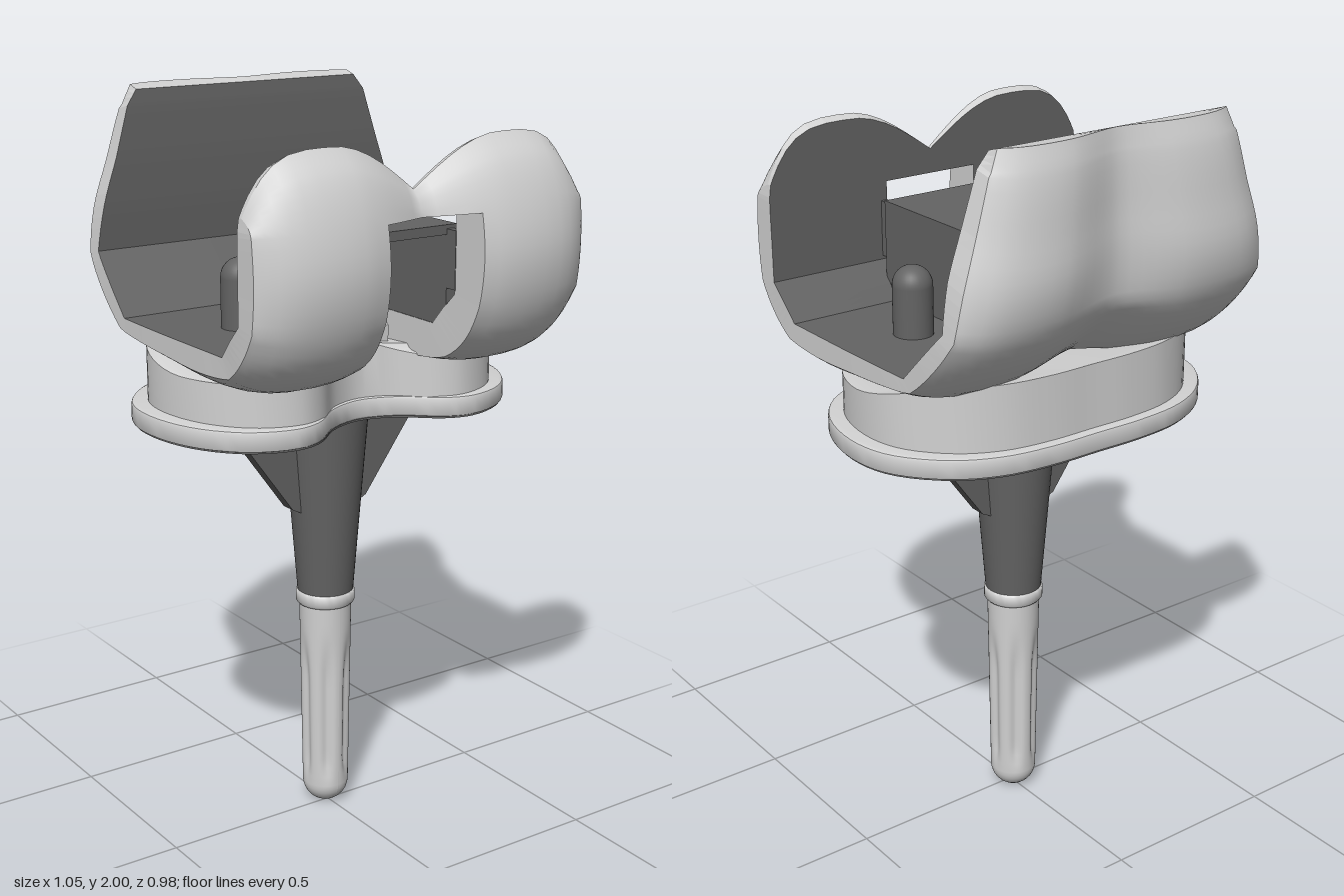
import * as THREE from 'three';
import { toCreasedNormals } from 'three/addons/utils/BufferGeometryUtils.js';

const light = new THREE.MeshStandardMaterial({ color: 0xd2d2d2, side: THREE.DoubleSide });
light.name = 'polishedMetal';
const dark = new THREE.MeshStandardMaterial({ color: 0x646464, side: THREE.DoubleSide });
dark.name = 'mattMetal';

function add(parent, name, geometry, material, x = 0, y = 0, z = 0) {
  const mesh = new THREE.Mesh(geometry, material);
  mesh.name = name;
  mesh.position.set(x, y, z);
  parent.add(mesh);
  return mesh;
}

function geometryFrom(positions, index) {
  const g = new THREE.BufferGeometry();
  g.setAttribute('position', new THREE.Float32BufferAttribute(positions, 3));
  if (index) g.setIndex(index);
  g.computeVertexNormals();
  return g;
}

// Side profile of the cap, front top to back top: inner z, y, outer z, y, half width
const STATIONS = [
  [0.355, 1.91, 0.38, 1.92, 0.49], [0.355, 1.84, 0.437, 1.85, 0.492],
  [0.355, 1.73, 0.478, 1.74, 0.495], [0.355, 1.62, 0.493, 1.62, 0.495],
  [0.355, 1.52, 0.472, 1.5, 0.495], [0.31, 1.475, 0.42, 1.4, 0.493],
  [0.27, 1.43, 0.33, 1.335, 0.49], [0.15, 1.43, 0.18, 1.31, 0.49],
  [0, 1.43, 0, 1.325, 0.49], [-0.12, 1.43, -0.13, 1.34, 0.488],
  [-0.22, 1.43, -0.27, 1.37, 0.485], [-0.3, 1.51, -0.39, 1.46, 0.482],
  [-0.37, 1.58, -0.46, 1.56, 0.475], [-0.365, 1.7, -0.487, 1.67, 0.455],
  [-0.365, 1.82, -0.478, 1.8, 0.415], [-0.37, 1.95, -0.462, 1.93, 0.375],
  [-0.375, 1.99, -0.44, 2.0, 0.345],
];
const HALF_COLUMNS = [0.035, 0.07, 0.105, 0.14, 0.18, 0.22, 0.27, 0.32, 0.37, 0.41, 0.44, 0.465, 0.48, 0.49];
const COLUMNS = [...HALF_COLUMNS.map((x) => -x).reverse(), 0, ...HALF_COLUMNS];
const SUB = 4;

// Two-lobed cap: polished outside, matt inside, slot in the front middle
function buildCap(parent) {
  const rows = (STATIONS.length - 1) * SUB;
  const cols = COLUMNS.length - 1;
  const curve = new THREE.CatmullRomCurve3(STATIONS.map((s) => new THREE.Vector3(s[4], s[3], s[2])));
  const outer = [], inner = [];

  for (let i = 0; i <= rows; i++) {
    const k = Math.min(Math.floor(i / SUB), STATIONS.length - 2);
    const t = i / SUB - k;
    const zi = THREE.MathUtils.lerp(STATIONS[k][0], STATIONS[k + 1][0], t);
    const yi = THREE.MathUtils.lerp(STATIONS[k][1], STATIONS[k + 1][1], t);
    const p = curve.getPoint(i / rows);
    const back = THREE.MathUtils.smoothstep(i / rows, 0.5, 0.75);
    for (const c of COLUMNS) {
      const s = Math.abs(c);
      const rise = Math.sin(Math.PI / 2 * Math.min(1, s / 0.27));
      const mid = THREE.MathUtils.lerp(0.38, 0.52, back);
      let f = mid + (1 - mid) * Math.pow(rise, 1 + 0.6 * back);
      f -= 0.5 * Math.pow(Math.max(0, s - 0.27) / 0.22, 3);
      // Heart-shaped upper edge of the front flange
      let lift = 0.33 + 0.67 * Math.sin(Math.PI / 2 * Math.min(1, s / 0.25));
      lift -= 0.8 * Math.pow(Math.max(0, s - 0.25) / 0.24, 4);
      const warp = (y) => (i < 3 * SUB && y > 1.74 ? 1.74 + (y - 1.74) * lift : y);
      const x = c * p.x / 0.49;
      outer.push(x, warp(yi + (p.y - yi) * (i > rows - SUB ? 1 : f)), zi + (p.z - zi) * f);
      inner.push(x, warp(yi), zi);
    }
  }

  const solid = (i, j) => {
    if (i < 0 || j < 0 || i >= rows || j >= cols) return false;
    const x = (COLUMNS[j] + COLUMNS[j + 1]) / 2;
    return !(Math.abs(x) < 0.14 && i >= 2 * SUB && i < 9 * SUB);
  };
  const id = (i, j) => i * (cols + 1) + j;
  const at = (list, n) => list.slice(n * 3, n * 3 + 3);
  const outFaces = [], inFaces = [], rim = [];
  const wall = (a, b) => {
    const [p, q, r, s] = [at(outer, a), at(outer, b), at(inner, b), at(inner, a)];
    rim.push(...p, ...q, ...r, ...p, ...r, ...s);
  };
  for (let i = 0; i < rows; i++) {
    for (let j = 0; j < cols; j++) {
      if (!solid(i, j)) continue;
      const a = id(i, j), b = id(i + 1, j), c = id(i + 1, j + 1), d = id(i, j + 1);
      outFaces.push(a, b, c, a, c, d);
      inFaces.push(a, c, b, a, d, c);
      if (!solid(i - 1, j)) wall(d, a);
      if (!solid(i + 1, j)) wall(b, c);
      if (!solid(i, j - 1)) wall(a, b);
      if (!solid(i, j + 1)) wall(c, d);
    }
  }
  add(parent, 'capOuterSurface', geometryFrom(outer, outFaces), light);
  add(parent, 'capInnerSurface', toCreasedNormals(geometryFrom(inner, inFaces), 0.4), dark);
  add(parent, 'capRim', geometryFrom(rim), light);
}

// Kidney-shaped plate with a hollow in the middle of the front edge
function kidney(sx, sz, height, bevel) {
  const half = [[0.1, 0.18], [0.2, 0.26], [0.28, 0.28], [0.4, 0.235], [0.49, 0.12], [0.525, -0.04],
    [0.5, -0.17], [0.4, -0.29], [0.28, -0.35], [0.14, -0.37]];
  const outline = [[0, 0.15], ...half, [0, -0.37], ...half.map(([x, z]) => [-x, z]).reverse()];
  const curve = new THREE.CatmullRomCurve3(
    outline.map(([x, z]) => new THREE.Vector3(x * sx, -z * sz, 0)), true);
  const shape = new THREE.Shape(curve.getPoints(96).slice(0, -1).map((p) => new THREE.Vector2(p.x, p.y)));
  const g = new THREE.ExtrudeGeometry(shape, {
    depth: height - 2 * bevel, bevelEnabled: bevel > 0, bevelThickness: bevel,
    bevelSize: bevel, bevelOffset: -bevel, bevelSegments: 2,
  });
  g.rotateX(-Math.PI / 2);
  return g.translate(0, bevel, 0);
}

export function createModel() {
  const model = new THREE.Group();
  model.name = 'jointImplant';

  const cap = new THREE.Group();
  cap.name = 'upperCap';
  model.add(cap);
  buildCap(cap);

  // Hollow box over the slot, open at the front and below
  for (const side of [-1, 1]) {
    add(cap, 'boxSide', new THREE.BoxGeometry(0.03, 0.27, 0.44), dark, side * 0.157, 1.555, 0.1);
    add(cap, 'boxNeck', new THREE.BoxGeometry(0.02, 0.15, 0.04), dark, side * 0.15, 1.605, 0.337);
    // Rounded locating pegs
    add(cap, 'peg', new THREE.CapsuleGeometry(0.052, 0.16, 12, 28), dark, side * 0.285, 1.478, 0.03);
  }
  add(cap, 'boxTop', new THREE.BoxGeometry(0.344, 0.025, 0.44), dark, 0, 1.6775, 0.1);
  add(cap, 'boxBack', new THREE.BoxGeometry(0.3, 0.1, 0.02), dark, 0, 1.62, -0.11);

  // Spacer whose top follows the cap
  const spacer = kidney(0.915, 0.925, 0.11, 0);
  const pos = spacer.attributes.position;
  for (let i = 0; i < pos.count; i++) {
    if (pos.getY(i) < 0.05) continue;
    const x = pos.getX(i), z = pos.getZ(i);
    const hump = z > 0 ? 0.04 * Math.exp(-Math.pow(x / 0.1, 2)) : 0;
    pos.setY(i, 0.11 + hump + 0.065 * THREE.MathUtils.smoothstep(-z, -0.05, 0.34));
  }
  spacer.computeVertexNormals();
  add(model, 'spacer', toCreasedNormals(spacer, 0.6), light, 0, 1.22, 0);

  // Central post of the spacer, sloped at the front
  const post = new THREE.Shape([[-0.12, 1.25], [0.135, 1.25], [0.135, 1.56], [0.1, 1.575],
    [0.03, 1.55], [-0.07, 1.45], [-0.12, 1.4]].map(([a, b]) => new THREE.Vector2(a, b)));
  const postGeometry = new THREE.ExtrudeGeometry(post, { depth: 0.22, bevelEnabled: false });
  postGeometry.rotateY(-Math.PI / 2);
  postGeometry.scale(1, 1, -1);
  const index = [...Array(postGeometry.attributes.position.count).keys()];
  for (let i = 0; i < index.length; i += 3) [index[i + 1], index[i + 2]] = [index[i + 2], index[i + 1]];
  postGeometry.setIndex(index);
  postGeometry.computeVertexNormals();
  add(model, 'centralPost', postGeometry, light, 0.11, 0, 0);

  // Base tray with a matt underside
  add(model, 'baseTray', toCreasedNormals(kidney(1, 1, 0.055, 0.008), 0.6), light, 0, 1.167, 0);
  add(model, 'trayUnderside', kidney(0.985, 0.98, 0.005, 0), dark, 0, 1.163, 0);

  // Tapered keel and its side fins
  add(model, 'keel', new THREE.CylinderGeometry(0.118, 0.077, 0.525, 40), dark, 0, 0.9075, -0.012);
  for (const side of [-1, 1]) {
    const fin = new THREE.Shape();
    fin.moveTo(0, 1.168).lineTo(side * 0.315, 1.168).lineTo(side * 0.12, 0.9).lineTo(side * 0.09, 0.885).lineTo(0, 0.885);
    add(model, 'keelFin', new THREE.ExtrudeGeometry(fin, { depth: 0.045, bevelEnabled: false }), dark, 0, 0, -0.035);
  }

  // Collar and fluted stem with a rounded tip
  const collar = [[0.06, 0.608], [0.076, 0.608], [0.081, 0.614], [0.081, 0.642], [0.076, 0.648], [0.06, 0.648]];
  add(model, 'collar', toCreasedNormals(new THREE.LatheGeometry(collar.map(([r, y]) => new THREE.Vector2(r, y)), 40), 0.9),
    light, 0, 0, -0.012);
  const profile = [];
  for (let i = 0; i <= 8; i++) {
    const a = i / 8 * Math.PI / 2;
    profile.push(new THREE.Vector2(0.064 * Math.sin(a), 0.064 - 0.064 * Math.cos(a)));
  }
  for (let i = 1; i <= 20; i++) profile.push(new THREE.Vector2(0.064 + 0.008 * i / 20, 0.064 + 0.55 * i / 20));
  const stem = new THREE.LatheGeometry(profile, 72);
  const sp = stem.attributes.position;
  for (let i = 0; i < sp.count; i++) {
    const y = sp.getY(i), angle = Math.atan2(sp.getX(i), sp.getZ(i));
    const fade = THREE.MathUtils.smoothstep(y, 0.07, 0.14) * (1 - THREE.MathUtils.smoothstep(y, 0.38, 0.54));
    const k = 1 - 0.17 * fade * Math.pow(0.5 + 0.5 * Math.cos(6 * angle + Math.PI), 2);
    sp.setX(i, sp.getX(i) * k);
    sp.setZ(i, sp.getZ(i) * k);
  }
  stem.computeVertexNormals();
  add(model, 'stem', stem, light, 0, 0, -0.012);

  return model;
}
